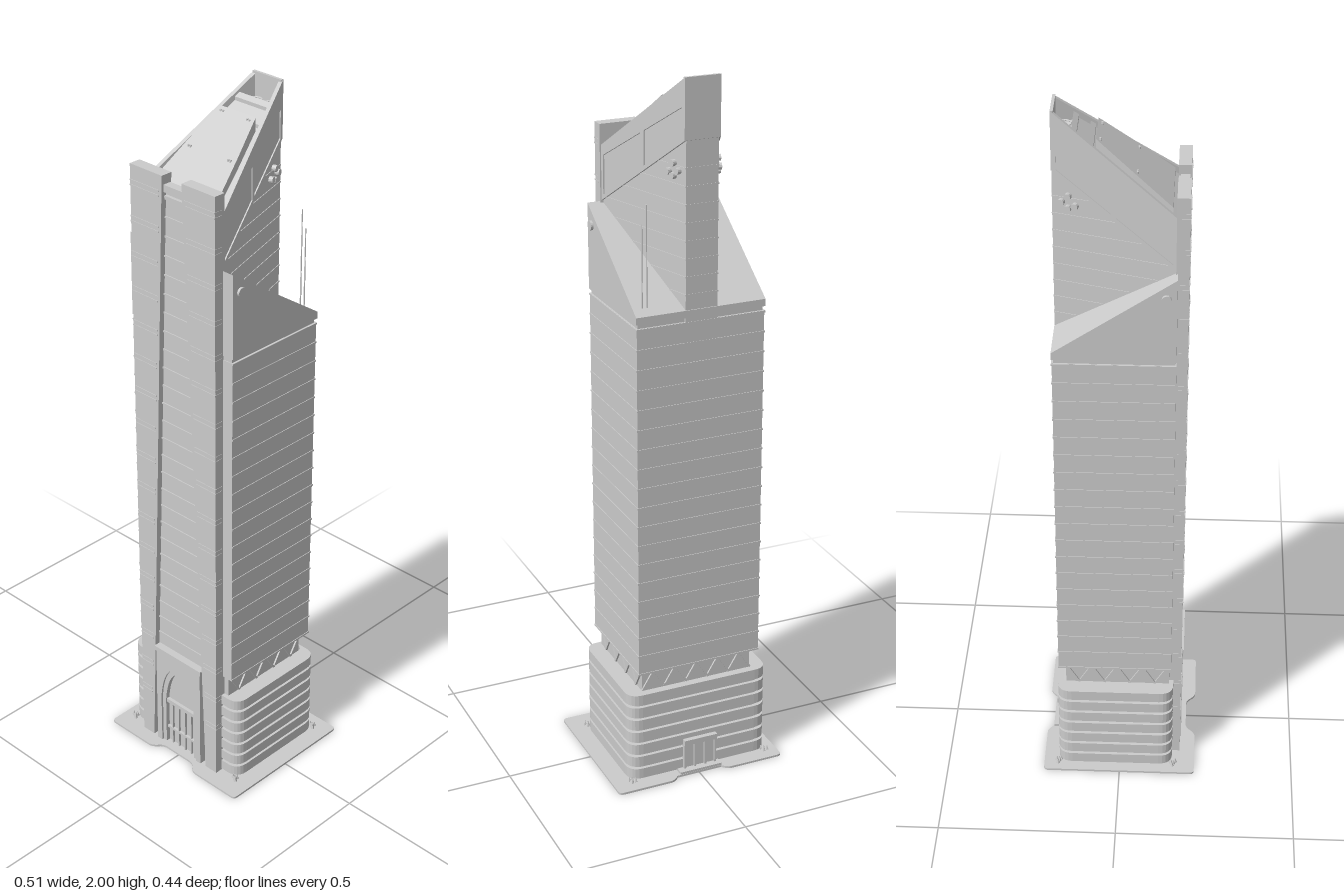
import * as THREE from 'three';
import { ConvexGeometry } from 'three/addons/geometries/ConvexGeometry.js';
import { mergeGeometries } from 'three/addons/utils/BufferGeometryUtils.js';

const mat = new THREE.MeshStandardMaterial({ color: 0xcccccc, flatShading: true, side: THREE.DoubleSide });

function add(parent, name, geos) {
  const list = [].concat(geos).map((g) => {
    const n = g.index ? g.toNonIndexed() : g;
    n.deleteAttribute('uv');
    return n;
  });
  const mesh = new THREE.Mesh(mergeGeometries(list), mat);
  mesh.name = name;
  parent.add(mesh);
}

// Box given by its limits
const box = (x0, x1, y0, y1, z0, z1) =>
  new THREE.BoxGeometry(x1 - x0, y1 - y0, z1 - z0).translate((x0 + x1) / 2, (y0 + y1) / 2, (z0 + z1) / 2);

// Solid between two upright rectangles [z, xLow, xHigh, yLow, yHigh]
function loft(a, b) {
  const pts = [];
  for (const [z, x0, x1, y0, y1] of [a, b])
    for (const x of [x0, x1]) for (const y of [y0, y1]) pts.push(new THREE.Vector3(x, y, z));
  return new ConvexGeometry(pts);
}

// Plan outline (x, -z) extruded upwards
const slab = (shape, y0, h) =>
  new THREE.ExtrudeGeometry(shape, { depth: h, bevelEnabled: false, curveSegments: 6 }).rotateX(-Math.PI / 2).translate(0, y0, 0);

const front = (shape, z0, d) =>
  new THREE.ExtrudeGeometry(shape, { depth: d, bevelEnabled: false, curveSegments: 12 }).translate(0, 0, z0);

function roundRect(hx, z0, z1, r) {
  const s = new THREE.Shape();
  s.moveTo(-hx + r, -z1).lineTo(hx - r, -z1).quadraticCurveTo(hx, -z1, hx, -z1 + r);
  s.lineTo(hx, -z0 - r).quadraticCurveTo(hx, -z0, hx - r, -z0).lineTo(-hx + r, -z0);
  s.quadraticCurveTo(-hx, -z0, -hx, -z0 - r).lineTo(-hx, -z1 + r).quadraticCurveTo(-hx, -z1, -hx + r, -z1);
  return s;
}

// Pointed arch outline
function arch(Type, w, spring, apex) {
  const p = new Type();
  p.moveTo(-w, 0).lineTo(-w, spring).quadraticCurveTo(-w * 0.85, apex - 0.02, 0, apex);
  p.quadraticCurveTo(w * 0.85, apex - 0.02, w, spring).lineTo(w, 0).lineTo(-w, 0);
  return p;
}

const ZF = 0.145, ZB = -0.177;
const towerHalf = (z) => 0.05 + (z - ZB) * (0.098 / (ZF - ZB)); // tapering plan of the spire
const roofY = (z) => 1.76 + (ZF - z) * 0.745;
const crownY = (z) => 1.61 + (ZF - z) * 0.714;
const wingY = (z) => 1.39 + (z - ZB) * 0.683;

export function createModel() {
  const model = new THREE.Group();
  const b = new THREE.Group();
  b.name = 'building';
  b.position.x = -0.01;
  model.add(b);

  // Ground plate with a notch at front and back
  const p = new THREE.Shape();
  p.moveTo(-0.24, -0.217).lineTo(-0.095, -0.217).quadraticCurveTo(-0.08, -0.215, -0.07, -0.202).quadraticCurveTo(-0.06, -0.19, -0.045, -0.19);
  p.lineTo(0.045, -0.19).quadraticCurveTo(0.06, -0.19, 0.07, -0.202).quadraticCurveTo(0.08, -0.215, 0.095, -0.217);
  p.lineTo(0.24, -0.217).quadraticCurveTo(0.253, -0.217, 0.253, -0.204).lineTo(0.253, 0.207).quadraticCurveTo(0.253, 0.22, 0.24, 0.22);
  p.lineTo(0.095, 0.22).quadraticCurveTo(0.082, 0.22, 0.068, 0.203).lineTo(-0.068, 0.203).quadraticCurveTo(-0.082, 0.22, -0.095, 0.22);
  p.lineTo(-0.24, 0.22).quadraticCurveTo(-0.253, 0.22, -0.253, 0.207).lineTo(-0.253, -0.204).quadraticCurveTo(-0.253, -0.217, -0.24, -0.217);
  add(model, 'groundPlate', slab(p, 0, 0.006));

  // Small planted corners
  const plants = [];
  for (const sx of [-1, 1]) for (const z of [-0.178, 0.155])
    for (let i = 0; i < 5; i++) {
      const a = i * 2.4, r = 0.004 * i * 0.7;
      plants.push(new THREE.ConeGeometry(0.006, 0.016, 5).translate(sx * 0.207 - 0.008 + r * Math.cos(a), 0.013, z + r * Math.sin(a)));
    }
  add(model, 'cornerPlants', plants);

  // Rounded podium with stacked bands
  add(b, 'podium', slab(roundRect(0.202, -0.168, 0.143, 0.035), 0, 0.275));
  const bands = [];
  for (let i = 0; i < 7; i++) bands.push(slab(roundRect(0.213, -0.178, 0.152, 0.04), 0.01 + i * 0.0395, 0.031));
  add(b, 'podiumBands', bands);

  // Recessed storey with zigzag braces
  add(b, 'neck', box(-0.166, 0.166, 0.27, 0.345, -0.155, 0.14));
  const braces = [];
  for (let i = 0; i < 10; i++) {
    const tilt = i % 2 ? 0.55 : -0.55;
    braces.push(new THREE.BoxGeometry(0.005, 0.068, 0.006).rotateZ(tilt).translate(-0.149 + i * 0.033, 0.31, -0.157));
    if (i < 8) for (const s of [-1, 1])
      braces.push(new THREE.BoxGeometry(0.006, 0.068, 0.005).rotateX(tilt).translate(s * 0.168, 0.31, -0.135 + i * 0.036));
  }
  add(b, 'neckBraces', braces);

  // Main shaft, groove and sloping shoulders
  add(b, 'shaft', box(-0.183, 0.183, 0.34, 1.358, -0.175, ZF));
  add(b, 'shaftGroove', box(-0.179, 0.179, 1.35, 1.38, -0.171, ZF - 0.002));
  add(b, 'shoulders', loft([ZF, -0.185, 0.185, 1.37, wingY(ZF)], [ZB, -0.185, 0.185, 1.37, wingY(ZB)]));
  const floors = [];
  for (let i = 0; i <= 18; i++) floors.push(box(-0.185, 0.185, 0.341 + i * 0.0562, 0.346 + i * 0.0562, ZB, ZF));
  add(b, 'floorLines', floors);

  // Side lamps near the top of the shoulders
  add(b, 'sideLamps', [-1, 1].map((s) => new THREE.CylinderGeometry(0.013, 0.013, 0.008, 16).rotateZ(Math.PI / 2).translate(s * 0.188, 1.555, 0.118)));

  // Spire: lower walls, then the crown with a sunken roof
  const sec = (z, inset, y0, y1) => [z, -towerHalf(z) + inset, towerHalf(z) - inset, y0, y1];
  add(b, 'spireWalls', loft(sec(ZF, 0.005, 1.3, crownY(ZF) + 0.01), sec(ZB + 0.001, 0.005, 1.3, crownY(ZB) + 0.01)));
  const ledges = [];
  for (let y = 1.43; y < 1.8; y += 0.048) {
    const z1 = y < 1.61 ? ZB + (y - 1.39) / 0.683 : ZF - (y - 1.61) / 0.714;
    ledges.push(loft(sec(z1, 0.003, y, y + 0.004), sec(ZB, 0.003, y, y + 0.004)));
  }
  add(b, 'spireFloorLines', ledges);

  const ZW = -0.125; // front of the fan well
  add(b, 'crown', [
    loft(sec(ZF, 0.004, crownY(ZF), roofY(ZF) - 0.018), sec(ZW, 0.004, crownY(ZW), roofY(ZW) - 0.018)),
    loft(sec(ZW, 0.004, crownY(ZW), 1.93), sec(ZB, 0.004, crownY(ZB), 1.93)),
  ]);
  const rims = [], frames = [];
  for (const s of [-1, 1]) {
    const strip = (z, lo, hi, t = 0.012) => {
      const w = s * towerHalf(z);
      return [z, w - s * t, w, lo, hi];
    };
    rims.push(loft(strip(ZF, 1.73, roofY(ZF)), strip(ZB, 1.93, roofY(ZB))));
    frames.push(loft(strip(ZF, crownY(ZF), crownY(ZF) + 0.012), strip(ZB, crownY(ZB), crownY(ZB) + 0.012)));
    for (const z of [ZF - 0.012, -0.025, ZB])
      frames.push(loft(strip(z, crownY(z), roofY(z)), strip(z + 0.012, crownY(z + 0.012), roofY(z + 0.012))));
  }
  rims.push(box(-0.05, 0.05, 1.84, roofY(ZB), ZB, ZB + 0.008));
  add(b, 'roofParapet', rims);
  add(b, 'crownSideFrames', frames);

  // Roof panel, cross bands and bolts
  const ps = (z, w, h) => [z, -w, w, roofY(z) - 0.03, roofY(z) + h];
  add(b, 'roofPanel', [loft(ps(0.13, 0.112, 0.004), ps(0.03, 0.088, 0.012)), loft(ps(0.03, 0.088, 0.012), ps(-0.063, 0.062, 0.018))]);
  add(b, 'roofBands', [-0.07, -0.112].map((z) => loft(sec(z, 0.01, roofY(z) - 0.02, roofY(z) - 0.008), sec(z - 0.013, 0.01, roofY(z - 0.013) - 0.02, roofY(z - 0.013) - 0.008))));
  const bolts = [];
  for (const [z, x, h] of [[-0.053, 0.046, 0.017], [0.04, 0.07, 0.012]]) for (const s of [-1, 1]) for (const d of [-0.004, 0.004])
    bolts.push(new THREE.CylinderGeometry(0.003, 0.003, 0.006, 8).translate(s * x + d, roofY(z) + h, z));
  add(b, 'roofBolts', bolts);

  // Two roof fans
  const fans = [];
  for (const s of [-1, 1]) {
    fans.push(new THREE.TorusGeometry(0.019, 0.002, 6, 24).rotateX(Math.PI / 2).translate(s * 0.022, 1.935, -0.148));
    fans.push(new THREE.CylinderGeometry(0.005, 0.005, 0.008, 12).translate(s * 0.022, 1.934, -0.148));
    for (let i = 0; i < 8; i++)
      fans.push(new THREE.BoxGeometry(0.014, 0.001, 0.006).rotateX(0.4).translate(0.011, 0, 0).rotateY(i * Math.PI / 4).translate(s * 0.022, 1.935, -0.148));
  }
  add(b, 'roofFans', fans);

  // Round dishes on the spire sides
  const dishes = [];
  for (const s of [-1, 1]) for (const [z, y] of [[-0.117, 1.75], [-0.135, 1.775], [-0.135, 1.742], [-0.152, 1.757]])
    dishes.push(new THREE.CylinderGeometry(0.009, 0.009, 0.014, 12).rotateZ(Math.PI / 2).rotateY(s * 0.296).translate(s * towerHalf(z), y, z));
  add(b, 'sideDishes', dishes);

  // Twin masts on the left shoulder
  add(b, 'masts', [[0.145, 1.68], [0.158, 1.63]].map(([x, top]) =>
    new THREE.CylinderGeometry(0.0015, 0.002, top - 1.39, 6).translate(x, (top + 1.39) / 2, -0.153)));

  // Front: two tapering piers beside a recessed strip
  const inner = (y) => 0.107 - 0.0396 * y;
  const piers = [], pierLines = [], stripLines = [];
  for (const s of [-1, 1]) {
    const q = new THREE.Shape();
    q.moveTo(s * 0.15, 0).lineTo(s * inner(0), 0).lineTo(s * inner(1.82), 1.82).lineTo(s * 0.15, 1.82).lineTo(s * 0.15, 0);
    piers.push(front(q, 0.14, 0.034));
    for (let y = 0.16; y < 1.8; y += 0.1) for (const d of [0, 0.014]) {
      const xs = [s * (inner(y) + 0.008), s * 0.151].sort((m, n) => m - n);
      pierLines.push(box(xs[0], xs[1], y + d, y + d + 0.004, 0.15, 0.1755));
    }
  }
  add(b, 'frontPiers', piers);
  add(b, 'pierLines', pierLines);
  const c = new THREE.Shape();
  c.moveTo(-0.107, 0).lineTo(0.107, 0).lineTo(0.036, 1.79).lineTo(-0.036, 1.79).lineTo(-0.107, 0);
  add(b, 'frontStrip', front(c, 0.14, 0.018));
  for (let y = 0.38; y < 1.76; y += 0.055) stripLines.push(box(-inner(y), inner(y), y, y + 0.005, 0.15, 0.161));
  stripLines.push(box(-0.034, 0.034, 1.755, 1.765, 0.15, 0.167), box(-0.034, 0.034, 1.775, 1.795, 0.145, 0.169));
  add(b, 'stripLines', stripLines);

  // Arched portal with nested mouldings
  const portal = new THREE.Shape();
  portal.moveTo(-0.088, 0).lineTo(0.088, 0).lineTo(0.088, 0.335).lineTo(-0.088, 0.335).lineTo(-0.088, 0);
  portal.holes.push(arch(THREE.Path, 0.068, 0.17, 0.3).translate ? null : arch(THREE.Path, 0.07, 0.17, 0.3));
  const mould = arch(THREE.Shape, 0.074, 0.17, 0.305);
  mould.holes.push(arch(THREE.Path, 0.057, 0.16, 0.28));
  add(b, 'portalFrame', [front(portal, 0.15, 0.027), box(-0.092, 0.092, 0.328, 0.342, 0.15, 0.18)]);
  add(b, 'portalMoulding', front(mould, 0.15, 0.021));
  const door = [box(-0.06, 0.06, 0.15, 0.162, 0.15, 0.168), box(-0.06, 0.06, 0.055, 0.062, 0.15, 0.166)];
  for (const x of [-0.038, -0.013, 0.013, 0.038]) door.push(box(x - 0.002, x + 0.002, 0, 0.155, 0.15, 0.165));
  add(b, 'frontDoor', door);

  // Rear entrance
  const rear = [box(-0.06, 0.068, 0.006, 0.013, -0.202, -0.16), box(-0.05, 0.05, 0.09, 0.106, -0.192, -0.16)];
  for (const x of [-0.047, -0.016, 0.016, 0.047]) rear.push(box(x - 0.003, x + 0.003, 0.006, 0.095, -0.187, -0.16));
  rear.push(box(-0.045, 0.045, 0.006, 0.09, -0.181, -0.16));
  add(b, 'rearDoor', rear);

  return model;
}
